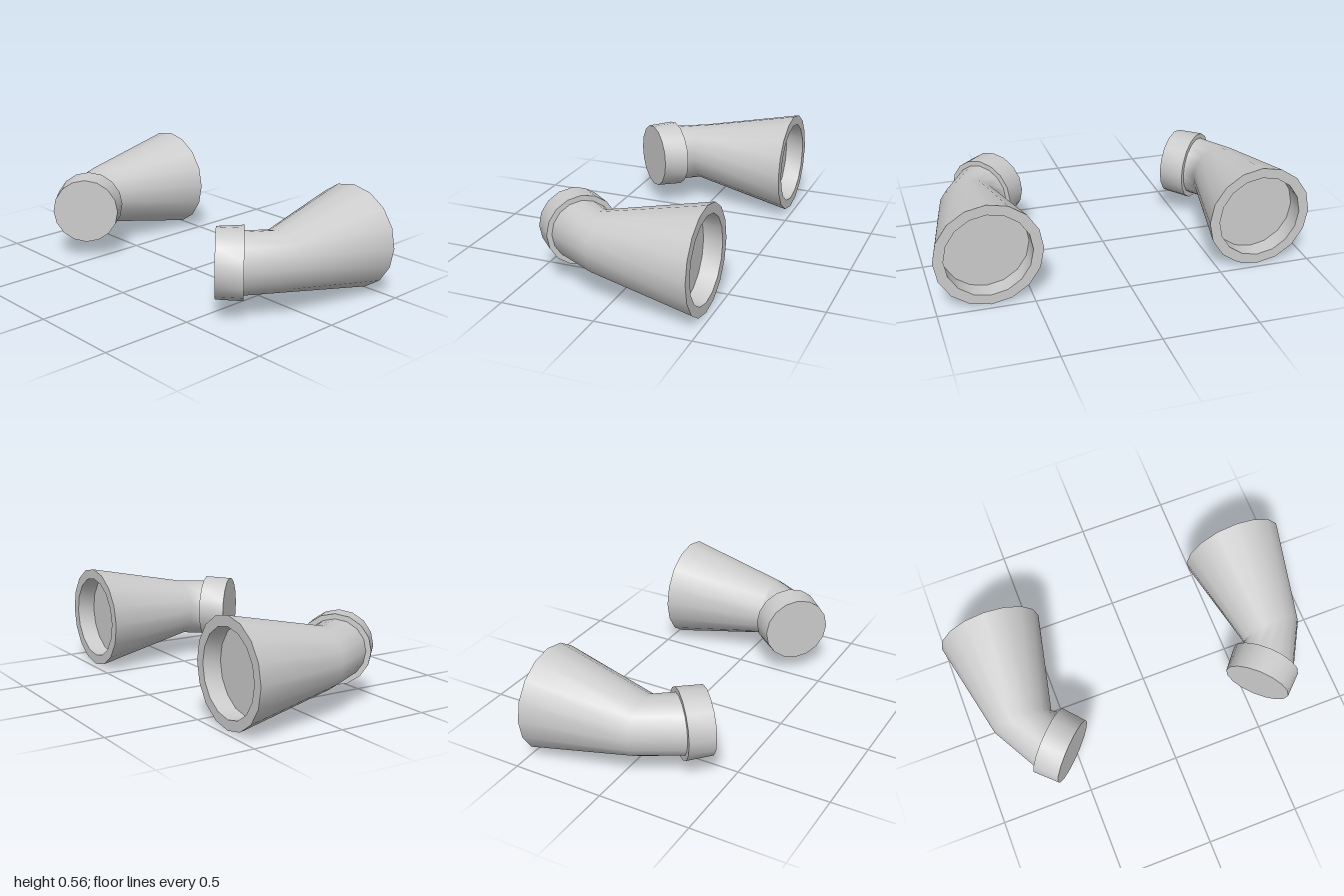
import * as THREE from 'three';

const SIDES = 16, AXIS_Y = 0.279;

// Ring: centre x, z, radius r, heading angle h (0 faces +z, positive turns to +x)
const ring = (x, z, r, h = 0) => ({ x, z, r, h });

// Smooth skin through rings; a zero radius closes the end
function loft(name, rings, material) {
  const pos = [], index = [];
  for (const { x, z, r, h } of rings) {
    for (let i = 0; i < SIDES; i++) {
      const a = (i / SIDES) * Math.PI * 2;
      const u = Math.cos(a) * r;
      pos.push(x + u * Math.cos(h), AXIS_Y + Math.sin(a) * r, z - u * Math.sin(h));
    }
  }
  for (let k = 0; k < rings.length - 1; k++) {
    for (let i = 0; i < SIDES; i++) {
      const j = (i + 1) % SIDES, a = k * SIDES, b = a + SIDES;
      if (rings[k].r > 0) index.push(a + i, a + j, b + j);
      if (rings[k + 1].r > 0) index.push(a + i, b + j, b + i);
      else if (rings[k].r > 0) index[index.length - 1] = b + i;
    }
  }
  const g = new THREE.BufferGeometry();
  g.setAttribute('position', new THREE.Float32BufferAttribute(pos, 3));
  g.setIndex(index);
  g.computeVertexNormals();
  const mesh = new THREE.Mesh(g, material);
  mesh.name = name;
  return mesh;
}

function createPipe(s, material) {
  const pipe = new THREE.Group();
  pipe.name = s > 0 ? 'leftPipe' : 'rightPipe';
  const x = s * 0.721, back = -0.465, floor = -0.365, inner = 0.225;
  const turn = -s * Math.PI / 4;
  const collarBack = (r) => ring(s * 0.626, 0.234, r, turn);
  const collarFront = (r) => ring(s * 0.53, 0.336, r, turn);
  const add = (name, ...rings) => pipe.add(loft(name, rings, material));

  // Flared body with angled elbow
  add('flaredBody', ring(x, back, 0.279), ring(x, 0.09, 0.16), collarBack(0.16));
  // Open rear end with shallow recess
  add('rearLip', ring(x, back, inner), ring(x, back, 0.279));
  add('recessWall', ring(x, floor, inner), ring(x, back, inner));
  add('recessFloor', ring(x, floor, 0), ring(x, floor, inner));
  // Collar on the elbow
  add('collarShoulder', collarBack(0.16), collarBack(0.187));
  add('collarBand', collarBack(0.187), collarFront(0.18));
  add('collarCap', collarFront(0.18), collarFront(0));
  return pipe;
}

export function createModel() {
  const group = new THREE.Group();
  group.name = 'pipePair';
  const material = new THREE.MeshStandardMaterial({ color: 0xcccccc });
  for (const s of [1, -1]) group.add(createPipe(s, material));
  return group;
}
